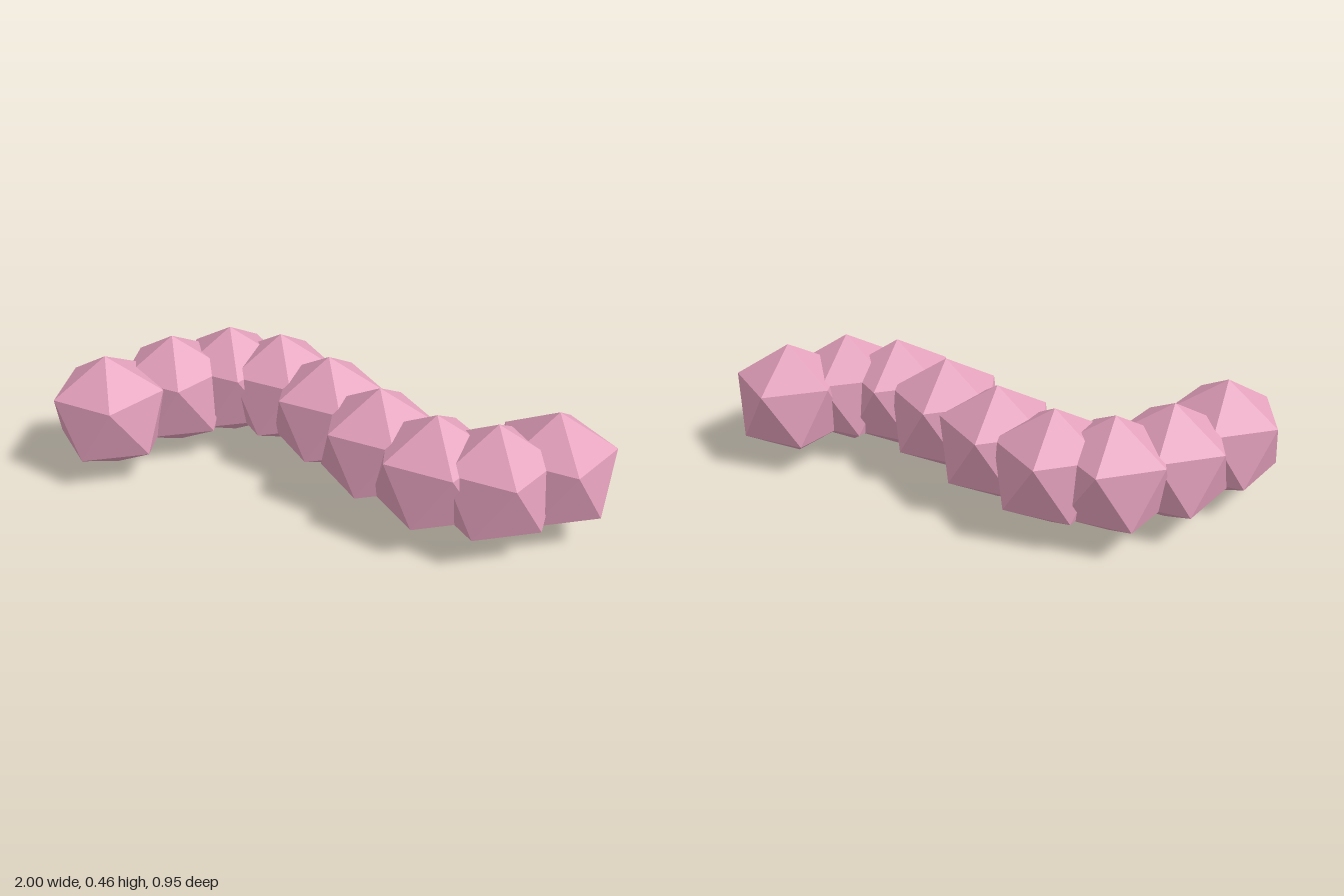
import * as THREE from 'three';

const COUNT = 9;
const RADIUS = 0.2276;
const STEP = 0.1991;   // spacing along x
const SWAY = 0.2845;   // sideways swing of the body wave

export function createModel() {
  const model = new THREE.Group();
  model.name = 'segmentedWorm';

  const pink = new THREE.MeshStandardMaterial({ color: 0xe3a0bb, flatShading: true });
  pink.name = 'pink';

  // Icosahedron standing on one corner, with an upper ring corner facing +x
  const geometry = new THREE.IcosahedronGeometry(RADIUS, 0);
  geometry.rotateX(-Math.atan((1 + Math.sqrt(5)) / 2));
  geometry.rotateY(Math.PI / 2);

  // Body segments strung along a sine wave
  for (let i = 0; i < COUNT; i++) {
    const segment = new THREE.Mesh(geometry, pink);
    segment.name = `bodySegment${i + 1}`;
    segment.position.set((i - (COUNT - 1) / 2) * STEP, RADIUS, -SWAY * Math.sin(0.7 * i));
    model.add(segment);
  }
  return model;
}
